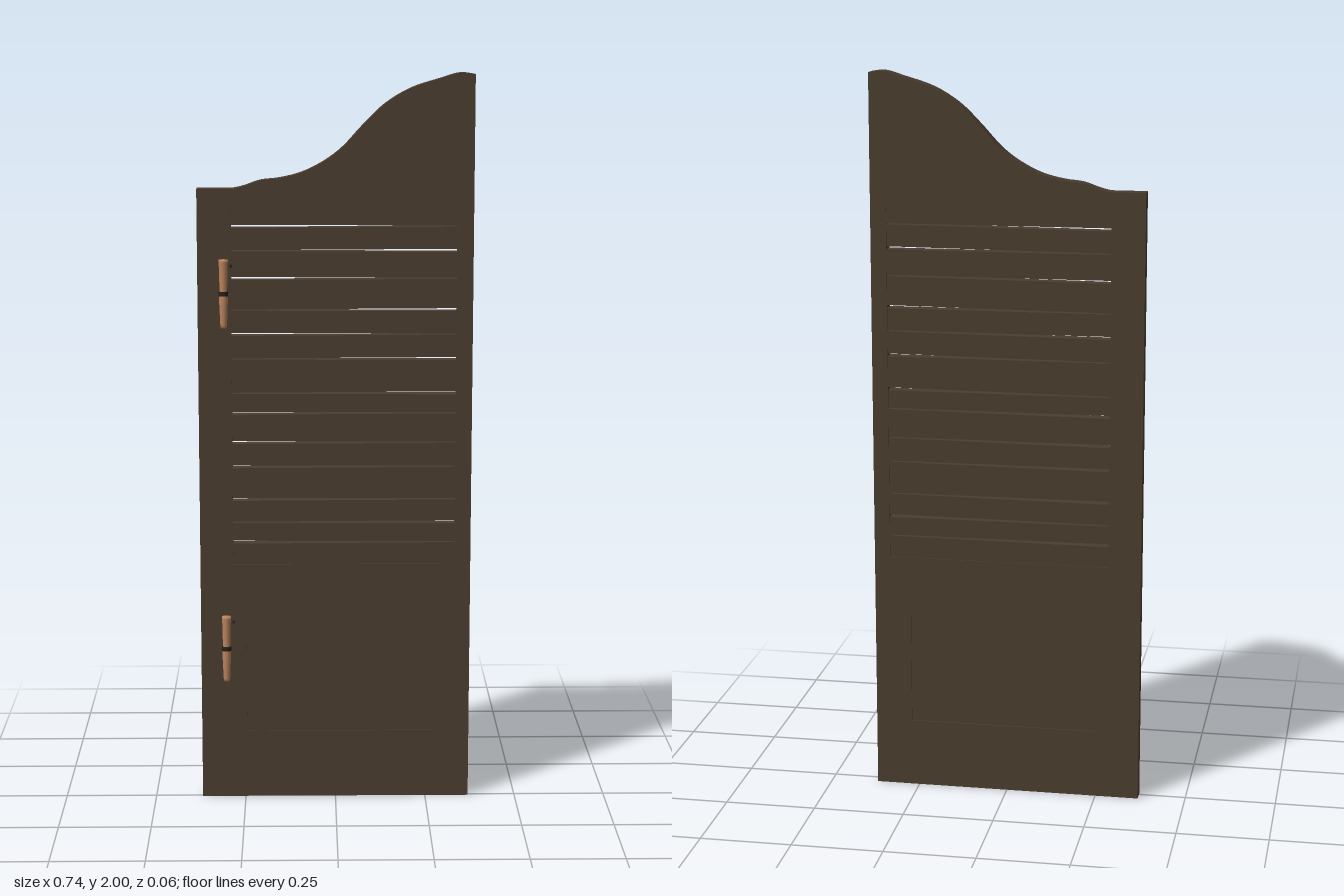
import * as THREE from 'three';

const wood = new THREE.MeshStandardMaterial({ name: 'darkWood', color: 0x4a3d2e });
const copper = new THREE.MeshStandardMaterial({ name: 'copper', color: 0xb8825c });
const dark = new THREE.MeshStandardMaterial({ name: 'darkIron', color: 0x2a1f18 });

const BACK = -0.03, FRONT = 0.008;       // faces of the door frame
const LEFT = -0.28, RIGHT = 0.327;       // louvre opening
const LOW = 0.667, HIGH = 1.64;

function polygon(points, Type = THREE.Shape) {
  return new Type(points.map(([x, y]) => new THREE.Vector2(x, y)));
}

function rect(x0, y0, x1, y1, Type) {
  return polygon([[x0, y0], [x1, y0], [x1, y1], [x0, y1]], Type);
}

// Extrudes a shape between two depths
function slab(name, shape, z0, z1) {
  const geometry = new THREE.ExtrudeGeometry(shape, { depth: z1 - z0, bevelEnabled: false });
  const mesh = new THREE.Mesh(geometry.translate(0, 0, z0), wood);
  mesh.name = name;
  return mesh;
}

// Frame with a swept top edge and openings for louvres and panel
function makeFrame() {
  const sweep = new THREE.SplineCurve([
    [-0.275, 1.695], [-0.245, 1.702], [-0.2, 1.717], [-0.15, 1.723], [-0.09, 1.738],
    [-0.03, 1.768], [0.02, 1.806], [0.07, 1.86], [0.13, 1.918], [0.2, 1.96],
    [0.28, 1.986], [0.33, 2.0], [0.37, 1.996],
  ].map(([x, y]) => new THREE.Vector2(x, y))).getPoints(48);
  const outline = new THREE.Shape([
    new THREE.Vector2(-0.37, 1.695), new THREE.Vector2(-0.37, 0),
    new THREE.Vector2(0.37, 0), ...sweep.reverse(),
  ]);
  outline.holes.push(rect(LEFT, LOW, RIGHT, HIGH, THREE.Path));
  outline.holes.push(rect(-0.245, 0.19, 0.27, 0.5, THREE.Path));
  return slab('frame', outline, BACK, FRONT);
}

// Louvre boards, with narrow uneven gaps between them
function makeSlats() {
  const group = new THREE.Group();
  group.name = 'slats';
  const gaps = [0.729, 0.785, 0.849, 0.94, 1.007, 1.088, 1.143, 1.237, 1.304, 1.37, 1.455, 1.53, 1.595];
  const wideRight = [0, 1, 0, 0, 0, 0, 1, 1, 0, 1, 0, 1, 0];
  const half = (i, right) => (wideRight[i] === right ? 0.0042 : 0.0015);
  for (let i = 0; i <= gaps.length; i++) {
    const bottom = side => (i === 0 ? LOW : gaps[i - 1] + half(i - 1, side));
    const top = side => (i === gaps.length ? HIGH : gaps[i] - half(i, side));
    const shape = polygon([[LEFT, bottom(0)], [RIGHT, bottom(1)], [RIGHT, top(1)], [LEFT, top(0)]]);
    group.add(slab('slat', shape, BACK + 0.003, FRONT - 0.003));
  }
  return group;
}

// Turned hinge barrel with a dark middle ring and a small pin
function makeHinge(y) {
  const hinge = new THREE.Group();
  hinge.name = 'hinge';
  const profile = [
    [0, -0.093], [0.008, -0.093], [0.009, -0.085], [0.0105, -0.05], [0.012, -0.015],
    [0.01, 0], [0.0105, 0.02], [0.0115, 0.07], [0.0125, 0.085], [0.0125, 0.091], [0, 0.093],
  ].map(([r, h]) => new THREE.Vector2(r, h));
  const barrel = new THREE.Mesh(new THREE.LatheGeometry(profile, 24), copper);
  barrel.name = 'hingeBarrel';
  const ring = new THREE.Mesh(new THREE.CylinderGeometry(0.0128, 0.0128, 0.012, 24), dark);
  ring.name = 'hingeRing';
  const pin = new THREE.Mesh(new THREE.CylinderGeometry(0.004, 0.004, 0.01, 12), dark);
  pin.name = 'hingePin';
  pin.rotation.x = Math.PI / 2;
  pin.position.set(0.02, 0.073, -0.009);
  hinge.add(barrel, ring, pin);
  hinge.position.set(-0.3, y, 0.017);
  return hinge;
}

export function createModel() {
  const door = new THREE.Group();
  door.name = 'swingDoor';
  door.add(makeFrame(), makeSlats());
  door.add(slab('lowerPanel', rect(-0.245, 0.19, 0.27, 0.5), BACK + 0.004, FRONT - 0.004));
  for (const y of [1.416, 0.431]) door.add(makeHinge(y));
  return door;
}
